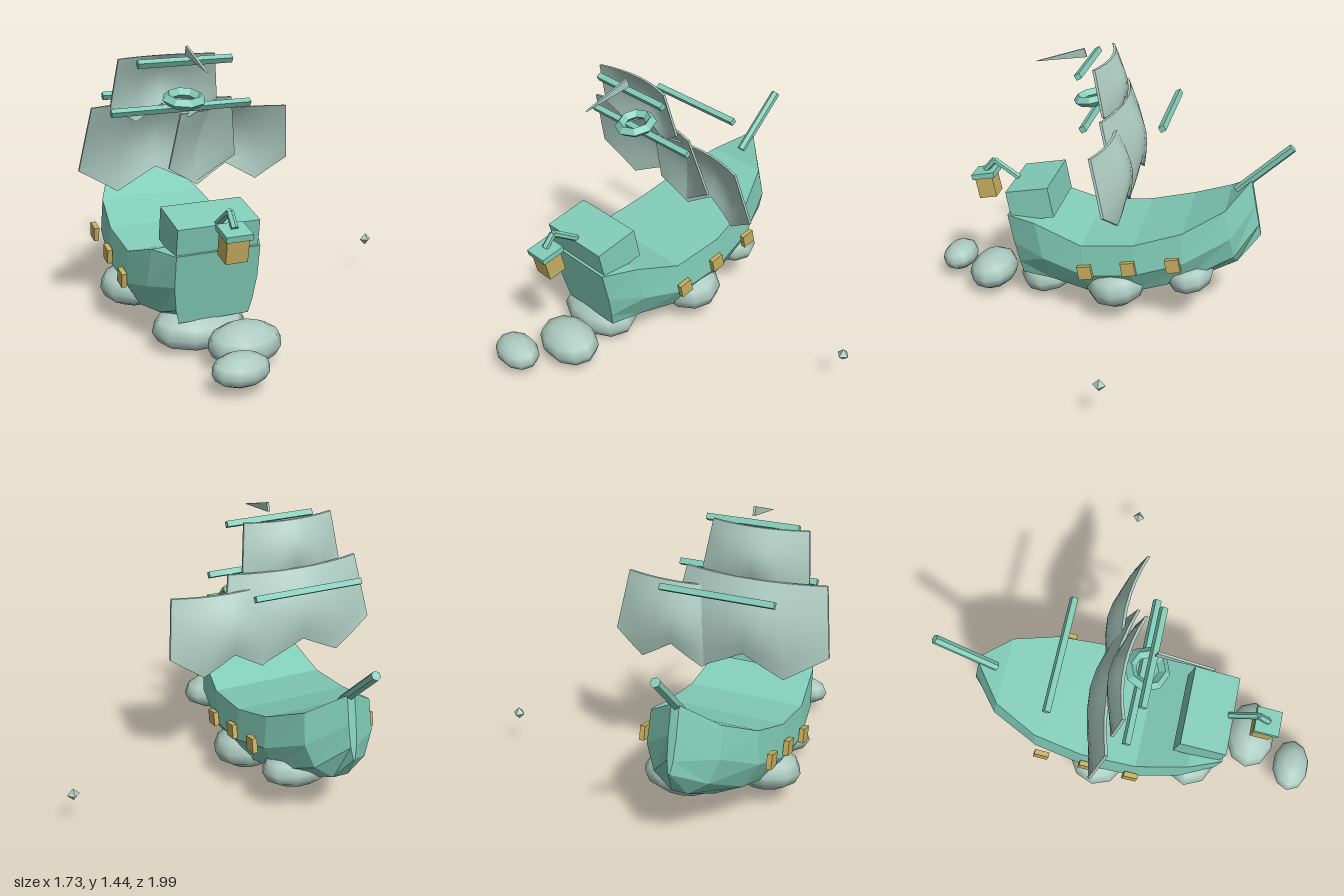
import * as THREE from 'three';

const CX = -0.38;   // ship centre line
const PITCH = 0.2;  // bow-up tilt

const teal = new THREE.MeshStandardMaterial({ color: 0x82cdb8 });
teal.name = 'tealWood';
const sage = new THREE.MeshStandardMaterial({ color: 0xaccac0 });
sage.name = 'paleSage';
const gold = new THREE.MeshStandardMaterial({ color: 0xc8b060 });
gold.name = 'lampGold';

function flat(geo) {
  const g = geo.index ? geo.toNonIndexed() : geo;
  g.computeVertexNormals();
  return g;
}

function add(group, name, geo, mat, x = 0, y = 0, z = 0, rx = 0) {
  const m = new THREE.Mesh(geo, mat);
  m.name = name;
  m.position.set(x, y, z);
  m.rotation.x = rx;
  group.add(m);
  return m;
}

const box = (w, h, d) => new THREE.BoxGeometry(w, h, d);

// Hull lofted from stern to bow; each ring runs from one rail under the keel to the other
function hullGeometry() {
  // rail z, rail y, keel z, keel y, half width
  const stations = [
    [0.52, 0.54, 0.445, 0.18, 0.21],
    [0.35, 0.535, 0.25, 0.09, 0.285],
    [0.085, 0.445, 0.04, 0.065, 0.318],
    [-0.2, 0.48, -0.2, 0.09, 0.32],
    [-0.45, 0.56, -0.47, 0.175, 0.285],
    [-0.66, 0.67, -0.73, 0.315, 0.185],
    [-0.777, 0.79, -0.845, 0.47, 0.02],
  ];
  const depth = [0, 0.45, 0.8, 1];
  const body = [0.96, 1, 0.75, 0.22], stern = [1, 1, 0.93, 0.85];
  const pos = [], idx = [], n = 8;
  stations.forEach(([zt, yt, zk, yk, w], i) => {
    for (let j = 0; j < n; j++) {
      const k = j < 4 ? j : 7 - j, t = depth[k];
      const x = w * (i ? body : stern)[k] * (j < 4 ? 1 : -1);
      pos.push(x, yt + (yk - yt) * t, zt + (zk - zt) * t);
    }
  });
  const last = stations.length - 1;
  for (let i = 0; i < last; i++) {
    for (let j = 0; j < n; j++) {
      const a = i * n + j, b = i * n + (j + 1) % n, c = a + n, d = b + n;
      idx.push(a, b, c, b, d, c);
    }
  }
  for (let j = 1; j < n - 1; j++) {
    idx.push(0, j + 1, j);
    idx.push(last * n, last * n + j, last * n + j + 1);
  }
  const g = new THREE.BufferGeometry();
  g.setAttribute('position', new THREE.Float32BufferAttribute(pos, 3));
  g.setIndex(idx);
  return flat(g);
}

// Billowing sail with a two-pointed lower edge
function sailGeometry({ x, wTop, wBot, top, corner, low, mid, zTop, zBot, bulge }) {
  const g = new THREE.BoxGeometry(2, 1, 1, 8, 6, 1);
  const p = g.attributes.position;
  for (let i = 0; i < p.count; i++) {
    const u = p.getX(i), v = 0.5 - p.getY(i), a = Math.abs(u);
    const bottom = a < 0.5 ? mid + (low - mid) * a * 2 : low + (corner - low) * (a - 0.5) * 2;
    const belly = bulge * (1 - u * u) * (0.5 + 0.5 * Math.sin(Math.PI * v));
    p.setXYZ(i,
      x + u * (wTop + (wBot - wTop) * v),
      top + (bottom - top) * v,
      zTop + (zBot - zTop) * v - belly + p.getZ(i) * 0.014);
  }
  g.computeVertexNormals();
  return g;
}

// Straight spar between two points in the centre plane
function spar(group, name, z1, y1, z2, y2, r, sides) {
  const g = flat(new THREE.CylinderGeometry(r, r, Math.hypot(z2 - z1, y2 - y1), sides));
  add(group, name, g, teal, CX, (y1 + y2) / 2, (z1 + z2) / 2, Math.atan2(z2 - z1, y2 - y1));
}

export function createModel() {
  const root = new THREE.Group();
  root.name = 'flyingShip';

  add(root, 'hull', hullGeometry(), teal, CX);
  add(root, 'cabin', box(0.41, 0.172, 0.24), teal, CX, 0.61, 0.395, PITCH);
  spar(root, 'bowsprit', -0.7, 0.72, -0.975, 0.985, 0.024, 6);

  // Side windows
  for (const side of [-1, 1]) {
    for (const [y, z] of [[0.303, 0.058], [0.352, -0.178], [0.4, -0.415]]) {
      add(root, 'sideWindow', box(0.026, 0.075, 0.075), gold, CX + side * 0.332, y, z, PITCH);
    }
  }

  // Stern lantern on a bent arm
  spar(root, 'lanternArm', 0.51, 0.675, 0.65, 0.768, 0.018, 6);
  spar(root, 'lanternHook', 0.65, 0.768, 0.705, 0.705, 0.018, 6);
  add(root, 'lanternCap', box(0.13, 0.03, 0.13), teal, CX, 0.688, 0.703, PITCH);
  add(root, 'lanternGlass', box(0.108, 0.115, 0.1), gold, CX, 0.615, 0.69, PITCH);

  // Yards
  for (const [w, y, z] of [[0.48, 1.368, 0.112], [0.72, 1.133, 0.06], [0.575, 1.143, -0.332]]) {
    add(root, 'yard', box(w, 0.03, 0.03), teal, CX, y, z, PITCH + 0.35);
  }

  // Crow's nest
  const nest = new THREE.TorusGeometry(0.082, 0.028, 4, 8).rotateX(Math.PI / 2);
  add(root, 'crowsNest', flat(nest), teal, CX, 1.18, 0.085, PITCH);

  // Sails
  add(root, 'mainSail', sailGeometry({ x: -0.453, wTop: 0.362, wBot: 0.415, top: 1.152, corner: 0.825,
    low: 0.69, mid: 0.795, zTop: -0.015, zBot: -0.1, bulge: 0.115 }), sage);
  add(root, 'topSail', sailGeometry({ x: -0.448, wTop: 0.245, wBot: 0.275, top: 1.388, corner: 1.15,
    low: 1.06, mid: 1.14, zTop: 0.045, zBot: -0.01, bulge: 0.09 }), sage);
  add(root, 'foreSail', sailGeometry({ x: -0.068, wTop: 0.29, wBot: 0.33, top: 1.08, corner: 0.785,
    low: 0.675, mid: 0.775, zTop: -0.03, zBot: -0.105, bulge: 0.105 }), sage);

  // Pennant, drawn in the side plane and turned so its tip trails toward the stern
  const shape = new THREE.Shape([[-0.395, 1.358], [-0.12, 1.4], [-0.135, 1.445]]
    .map(([a, b]) => new THREE.Vector2(a, b)));
  const pennant = new THREE.ExtrudeGeometry(shape, { depth: 0.012, bevelEnabled: false })
    .translate(0, 0, -0.006).rotateY(Math.PI / 2);
  add(root, 'pennant', pennant, sage, CX);

  // Clouds: x, y, z, then radii
  const puff = new THREE.SphereGeometry(1, 10, 6);
  const clouds = [
    [-0.435, 0.12, 0.9, 0.14, 0.076, 0.1],
    [-0.31, 0.125, 0.655, 0.185, 0.1, 0.135],
    [-0.42, 0.112, 0.345, 0.24, 0.108, 0.165],
    [-0.185, 0.19, -0.09, 0.195, 0.12, 0.165],
    [-0.58, 0.19, -0.14, 0.19, 0.11, 0.16],
    [-0.28, 0.255, -0.48, 0.2, 0.1, 0.135],
  ];
  for (const [x, y, z, a, b, c] of clouds) {
    add(root, 'cloud', puff, sage, x, y, z, PITCH * 0.7).scale.set(a, b, c);
  }

  // Drifting crystal
  add(root, 'driftingCrystal', new THREE.OctahedronGeometry(0.033), sage, 0.828, 0.21, -0.215);

  return root;
}
